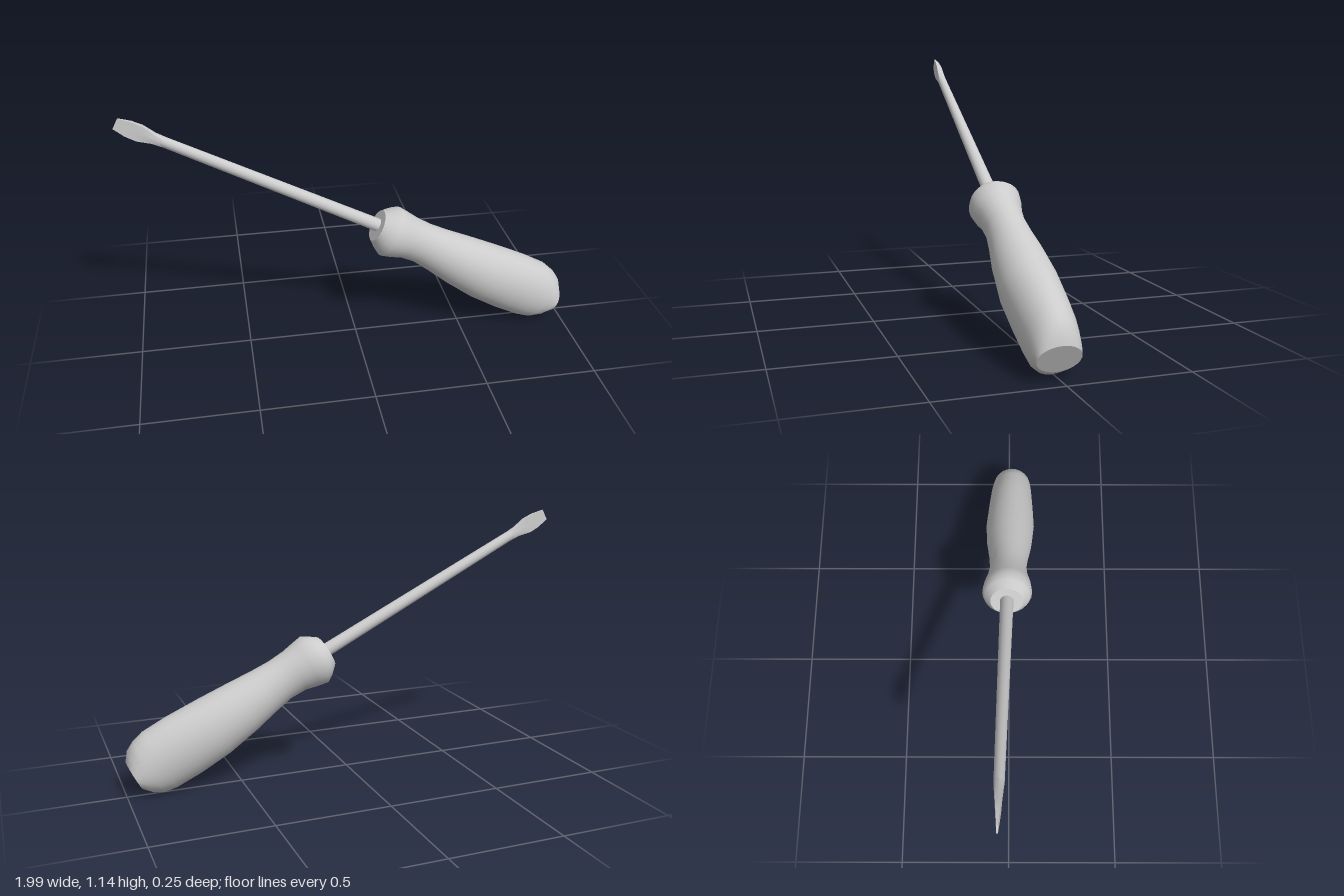
import * as THREE from 'three';
import { toCreasedNormals } from 'three/addons/utils/BufferGeometryUtils.js';

const SIDES = 24;
const BUTT = new THREE.Vector3(0.97, 0.08, 0.0145);
const ALONG = new THREE.Vector3(-0.8824, 0.4706, -0.0248); // butt to tip
const ACROSS = new THREE.Vector3(0.4706, 0.8824, 0);

// Each section: [distance along, offset across, half width across, half depth, squareness 0..1]
function loft(sections) {
  const pos = [], index = [];
  const addRing = ([s, t, w, d, q = 0]) => {
    const start = pos.length / 3;
    for (let j = 0; j < SIDES; j++) {
      const a = (j / SIDES) * Math.PI * 2;
      const c = Math.cos(a), n = -Math.sin(a);
      const k = 1 + q * (1 / Math.max(Math.abs(c), Math.abs(n)) - 1);
      const p = BUTT.clone().addScaledVector(ALONG, s).addScaledVector(ACROSS, t + w * c * k);
      pos.push(p.x, p.y, p.z + d * n * k);
    }
    return start;
  };
  const starts = sections.map(addRing);
  for (let i = 0; i < starts.length - 1; i++) {
    for (let j = 0; j < SIDES; j++) {
      const k = (j + 1) % SIDES;
      const a = starts[i] + j, b = starts[i] + k;
      const c = starts[i + 1] + k, e = starts[i + 1] + j;
      index.push(a, b, c, a, c, e);
    }
  }
  // flat end caps with their own vertices
  const first = addRing(sections[0]);
  const last = addRing(sections[sections.length - 1]);
  for (let j = 1; j < SIDES - 1; j++) {
    index.push(first, first + j + 1, first + j);
    index.push(last, last + j, last + j + 1);
  }
  const g = new THREE.BufferGeometry();
  g.setAttribute('position', new THREE.Float32BufferAttribute(pos, 3));
  g.setIndex(index);
  g.computeVertexNormals();
  return g;
}

export function createModel() {
  const group = new THREE.Group();
  group.name = 'screwdriver';
  const material = new THREE.MeshStandardMaterial({ color: 0xcccccc });
  const add = (name, geometry) => {
    const mesh = new THREE.Mesh(geometry, material);
    mesh.name = name;
    group.add(mesh);
  };

  // Handle: oval grip, narrow waist and flared collar
  add('handle', loft([
    [0.01, 0.005, 0.066, 0.088],
    [0.04, 0.003, 0.108, 0.095],
    [0.08, 0, 0.133, 0.1],
    [0.135, 0.002, 0.146, 0.105],
    [0.25, 0, 0.148, 0.112],
    [0.4, -0.002, 0.14, 0.119],
    [0.55, 0.003, 0.123, 0.109],
    [0.66, 0.009, 0.107, 0.094],
    [0.75, 0.014, 0.097, 0.086],
    [0.825, 0.014, 0.1, 0.094],
    [0.88, 0.01, 0.112, 0.109],
    [0.925, 0.008, 0.12, 0.115],
    [0.955, 0.009, 0.101, 0.104],
    [0.99, 0.011, 0.073, 0.075],
  ]));

  // Round shaft, tapering slightly
  add('shaft', loft([
    [0.95, 0.015, 0.03, 0.031],
    [2.02, 0.004, 0.023, 0.021],
  ]));

  // Flat blade: flares wide while thinning to the tip
  add('blade', toCreasedNormals(loft([
    [2.0, 0.004, 0.023, 0.021, 0],
    [2.05, 0.003, 0.025, 0.018, 0.4],
    [2.11, 0.001, 0.035, 0.012, 1],
    [2.16, 0, 0.035, 0.008, 1],
    [2.215, -0.001, 0.025, 0.003, 1],
  ]), 0.6));

  return group;
}
